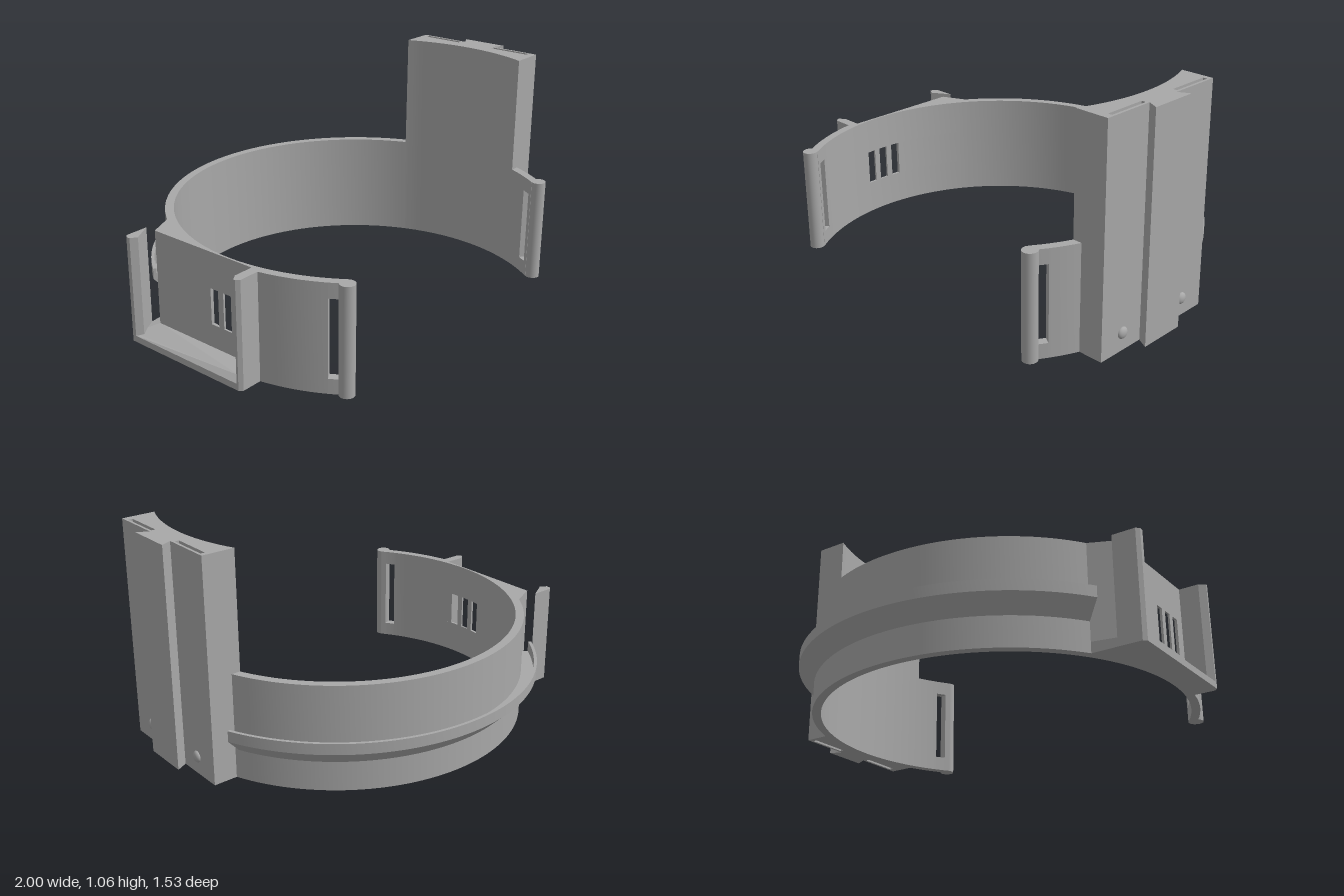
import * as THREE from 'three';
import { toCreasedNormals } from 'three/addons/utils/BufferGeometryUtils.js';

const CX = -0.006, CZ = 0.21;      // centre of the ring
const R0 = 0.86, R1 = 0.9;         // inner and outer ring radius
const H = 0.5;                     // ring height
const rad = THREE.MathUtils.degToRad;

const polar = (r, deg) => [CX + r * Math.cos(rad(deg)), CZ + r * Math.sin(rad(deg))];

// Points [x, z] along an arc, degrees measured from +x towards +z
function arc(r, a0, a1) {
  const n = Math.max(1, Math.ceil(Math.abs(a1 - a0) / 2.5));
  return Array.from({ length: n + 1 }, (_, i) => polar(r, a0 + (a1 - a0) * i / n));
}

// Angle on the inner ring at a given z, on the +x side
const angleAt = z => THREE.MathUtils.radToDeg(Math.asin((z - CZ) / R0));

// Upright prism over a plan outline of [x, z] points
function prism(outline, y0, y1, holes = []) {
  const toV = ([x, z]) => new THREE.Vector2(x, -z);
  const shape = new THREE.Shape(outline.map(toV));
  holes.forEach(h => shape.holes.push(new THREE.Path(h.map(toV))));
  const g = new THREE.ExtrudeGeometry(shape, { depth: y1 - y0, bevelEnabled: false });
  g.rotateX(-Math.PI / 2).translate(0, y0, 0);
  return toCreasedNormals(g, 0.4);
}

const sector = (a0, a1, y0, y1) => prism([...arc(R0, a0, a1), ...arc(R1, a1, a0)], y0, y1);
const rect = (x0, x1, z0, z1) => [[x0, z0], [x1, z0], [x1, z1], [x0, z1]];

export function createModel() {
  const model = new THREE.Group();
  const grey = new THREE.MeshStandardMaterial({ color: 0xa8a8a8, side: THREE.DoubleSide });
  const group = (name) => {
    const g = new THREE.Group();
    g.name = name;
    model.add(g);
    return g;
  };
  const add = (parent, name, geometry) => {
    const m = new THREE.Mesh(geometry, grey);
    m.name = name;
    parent.add(m);
    return m;
  };

  // Rear half of the ring
  add(model, 'rearBand', sector(-21, -146.3, 0, H));

  // Front arms: strap slot and rounded end bead
  for (const [name, left, start] of [['leftArm', true, 21], ['rightArm', false, 11.5]]) {
    const arm = group(name);
    const a = d => left ? d : 180 - d;
    add(arm, 'armBand', sector(a(start), a(30.5), 0, H));
    add(arm, 'armTip', sector(a(33.8), a(35.5), 0, H));
    add(arm, 'slotBottom', sector(a(30.5), a(33.8), 0, 0.07));
    add(arm, 'slotTop', sector(a(30.5), a(33.8), 0.43, H));
    const bead = add(arm, 'endBead', new THREE.CylinderGeometry(0.035, 0.035, H, 28));
    const [x, z] = polar(0.896, a(35.4));
    bead.position.set(x, H / 2, z);
  }

  // Gutter around the back of the ring
  const gutter = group('gutter');
  gutter.position.set(CX, 0, CZ);
  const profile = [[0.89, 0.14], [0.9, 0.14], [0.975, 0.215], [0.975, 0.267],
    [0.96, 0.267], [0.96, 0.215], [0.89, 0.215]].map(p => new THREE.Vector2(...p));
  const g0 = -22.3, g1 = -146.3;
  add(gutter, 'gutterRail', toCreasedNormals(
    new THREE.LatheGeometry(profile, 64, rad(90 - g0), rad(g0 - g1)), 0.4));
  for (const a of [g0, g1]) {
    add(gutter, 'gutterEnd', new THREE.ShapeGeometry(new THREE.Shape(profile))).rotation.y = -rad(a);
  }

  // Tall mount with a dovetail rail and two through pockets
  const mount = group('mount');
  const zBack = -0.115, zFront = 0.545, face = 0.947;
  add(mount, 'mountBody', prism([
    ...arc(R0, angleAt(zBack), angleAt(zFront)),
    [face, zFront], [face, 0.3], [1, 0.327], [1, 0.103], [face, 0.13], [face, zBack],
  ], 0, 1.056, [rect(0.915, 0.935, -0.09, 0.112), rect(0.915, 0.935, 0.308, 0.508)]));
  for (const z of [0.02, 0.415]) {
    const knob = add(mount, 'knob', new THREE.SphereGeometry(0.027, 24, 16));
    knob.scale.x = 0.6;
    knob.position.set(face, 0.085, z);
  }

  // Side holder: flat-backed wall with three vents
  const holder = group('holder');
  const zA = -0.235, zB = 0.345, back = -0.875;
  const wall = (z0, z1, y0, y1) => add(holder, 'holderWall', prism([
    ...arc(R0, 180 - angleAt(z0), 180 - angleAt(z1)), [back, z1], [back, z0],
  ], y0, y1));
  const v0 = 0.16, v1 = 0.33;
  wall(zA, zB, 0, v0);
  wall(zA, zB, v1, H);
  const cuts = [zA, 0.1, 0.145, 0.175, 0.22, 0.25, 0.295, zB];
  for (let i = 0; i < cuts.length; i += 2) wall(cuts[i], cuts[i + 1], v0, v1);

  // Fairing that joins the wall to the rear band
  add(holder, 'fairing', prism([
    ...arc(R0, 180 - angleAt(zA), 214), polar(R1, 213.7), [back, zA],
  ], 0, H));

  // Front cheek, rear post and base tray with a sloped lip
  add(holder, 'frontCheek', prism([
    ...arc(R0, 180 - angleAt(zB), 180 - angleAt(0.39)),
    [-0.885, 0.39], [-0.985, 0.39], [-1, 0.375], [-1, 0.365], [-0.97, zB],
  ], 0, H));
  add(holder, 'rearPost', prism([
    [-1, -0.255], [-1, -0.275], [-0.985, -0.29], [back, -0.29], [-0.97, zA],
  ], 0, H));
  const tray = prism([
    [-1, 0.37], [-1, -0.275], [-0.985, -0.29], polar(R1, 213.7), [back, zA],
    [back, zB], [-0.97, zB], [-0.97, zA], [-0.97, zB],
  ].slice(0, 7), 0, 0.05);
  const p = tray.attributes.position;
  for (let i = 0; i < p.count; i++) {
    if (p.getX(i) < -0.98 && p.getY(i) > 0.04) p.setY(i, 0.03);
  }
  tray.computeVertexNormals();
  add(holder, 'baseTray', tray);

  return model;
}
